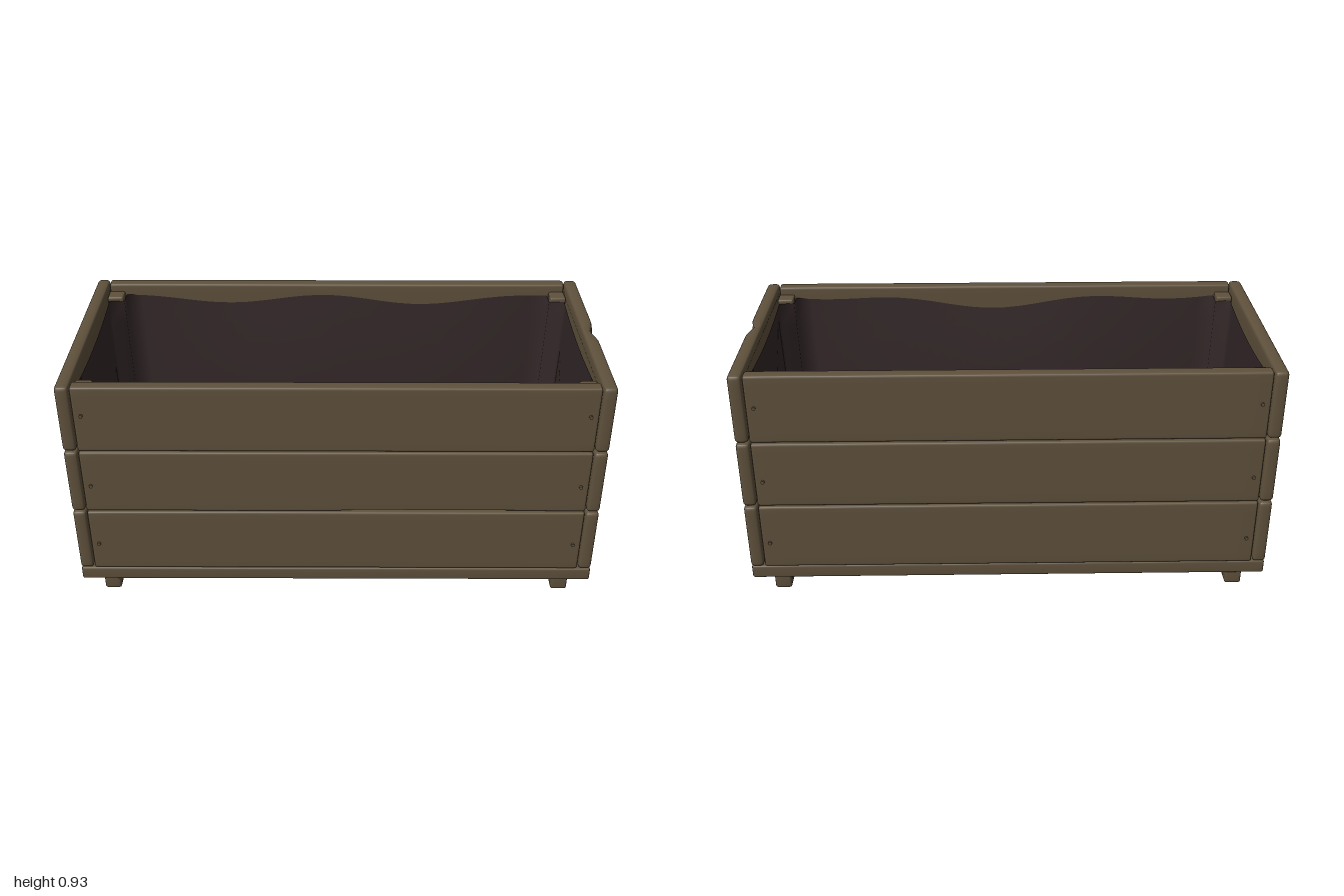
import * as THREE from 'three';
import { mergeVertices } from 'three/addons/utils/BufferGeometryUtils.js';

const wood = new THREE.MeshStandardMaterial({ color: 0x5f513c });
wood.name = 'weathered wood';
const fabric = new THREE.MeshStandardMaterial({ color: 0x322627, side: THREE.DoubleSide });
fabric.name = 'dark liner';

// Spread box grid lines so that two of them at each end form the rounded edge.
function spread(t, size, n, r) {
  const i = Math.round((t + 0.5) * n), h = size / 2;
  const side = i <= n / 2 ? -1 : 1, k = Math.min(i, n - i);
  if (k < 2) return side * (h - [0, 0.35 * r][k]);
  return -h + r + ((i - 2) / (n - 4)) * (size - 2 * r);
}

// Worn timber: a rounded box, optionally reshaped by a rule in model space.
function timber(name, min, max, r = 0.012, rule = null) {
  const size = max.map((v, i) => v - min[i]);
  const seg = size.map(s => (s > 0.5 ? 28 : s > 0.2 ? 12 : 6));
  let geo = new THREE.BoxGeometry(1, 1, 1, ...seg);
  geo.deleteAttribute('normal');
  geo.deleteAttribute('uv');
  geo = mergeVertices(geo);
  const pos = geo.attributes.position;
  const p = new THREE.Vector3(), core = new THREE.Vector3();
  for (let i = 0; i < pos.count; i++) {
    p.fromBufferAttribute(pos, i);
    p.set(...[p.x, p.y, p.z].map((t, a) => spread(t, size[a], seg[a], r)));
    core.set(...[p.x, p.y, p.z].map((v, a) => {
      const c = size[a] / 2 - r;
      return Math.max(-c, Math.min(c, v));
    }));
    p.sub(core);
    if (p.lengthSq() > 1e-12) p.setLength(r);
    p.add(core);
    p.set(...[p.x, p.y, p.z].map((v, a) => v + (min[a] + max[a]) / 2));
    if (rule) rule(p);
    pos.setXYZ(i, p.x, p.y, p.z);
  }
  geo.computeVertexNormals();
  const mesh = new THREE.Mesh(geo, wood);
  mesh.name = name;
  return mesh;
}

// Small round screw head facing along a horizontal direction.
function screw(x, y, z, alongX) {
  const mesh = new THREE.Mesh(new THREE.CylinderGeometry(0.007, 0.007, 0.016, 8), wood);
  mesh.position.set(x, y, z);
  if (alongX) mesh.rotation.z = Math.PI / 2;
  else mesh.rotation.x = Math.PI / 2;
  mesh.name = 'screwHead';
  return mesh;
}

// Sagging liner: one outline, stepped in around the posts, repeated at each level.
function liner() {
  const X = 0.93, Z = 0.39, nx = 0.868, nz = 0.328, outline = [];
  const edge = (ax, az, bx, bz, n) => {
    for (let i = 0; i < n; i++) outline.push([ax + (bx - ax) * i / n, az + (bz - az) * i / n]);
  };
  edge(X, -nz, X, nz, 12);
  edge(X, nz, nx, nz, 1);
  edge(nx, nz, nx, Z, 1);
  edge(nx, Z, -nx, Z, 28);
  edge(-nx, Z, -nx, nz, 1);
  edge(-nx, nz, -X, nz, 1);
  edge(-X, nz, -X, -nz, 12);
  edge(-X, -nz, -nx, -nz, 1);
  edge(-nx, -nz, -nx, -Z, 1);
  edge(-nx, -Z, nx, -Z, 28);
  edge(nx, -Z, nx, -nz, 1);
  edge(nx, -nz, X, -nz, 1);
  const n = outline.length, levels = 8, verts = [], index = [];
  for (let l = 0; l <= levels; l++) {
    const t = l / levels;
    for (const [x, z] of outline) {
      const mid = Math.max(0, 1 - (x / nx) ** 2), midZ = Math.max(0, 1 - (z / nz) ** 2);
      const top = 0.885 - 0.025 * mid * (1 + Math.sin(7 * x + 3 * z)) - 0.02 * midZ;
      const sag = Math.sin(t * Math.PI / 2);
      verts.push(x * (1 - sag * (0.015 + 0.01 * midZ)), top + (0.14 - top) * t,
        z * (1 - sag * (0.05 + 0.1 * mid)));
    }
  }
  for (let l = 0; l < levels; l++) for (let i = 0; i < n; i++) {
    const a = l * n + i, b = l * n + (i + 1) % n;
    index.push(a, a + n, b, b, a + n, b + n);
  }
  // Floor fan
  const centre = verts.length / 3;
  verts.push(0, 0.135, 0);
  for (let i = 0; i < n; i++) index.push(levels * n + i, centre, levels * n + (i + 1) % n);
  const geo = new THREE.BufferGeometry();
  geo.setAttribute('position', new THREE.Float32BufferAttribute(verts, 3));
  geo.setIndex(index);
  geo.computeVertexNormals();
  const mesh = new THREE.Mesh(geo, fabric);
  mesh.name = 'liner';
  return mesh;
}

export function createModel() {
  const planter = new THREE.Group();
  planter.name = 'planter';

  // Chip in the upper outer edge of one end board
  const chip = p => {
    const width = 0.07 * (p.y - 0.86) / 0.07;
    if (width > 0 && p.x > 0.96) p.x -= 0.018 * Math.max(0, 1 - Math.abs(p.z) / (width + 0.01));
  };
  // Worn lower edge of the middle front board
  const worn = p => {
    if (p.y < 0.402 && p.x > 0 && p.z > 0.42) p.y += 0.012 * (1 - p.x / 0.94);
  };

  // Three rows of wall boards with their screws
  const rows = [[0.119, 0.388], [0.393, 0.657], [0.662, 0.93]];
  const screwY = [[0.23, 0.253, 0.24], [0.52, 0.535, 0.51], [0.78, 0.812, 0.815]];
  rows.forEach(([y0, y1], i) => {
    planter.add(timber('frontBoard', [-0.936, y0, 0.393], [0.936, y1, 0.443], 0.01, i === 1 ? worn : null));
    planter.add(timber('backBoard', [-0.936, y0, -0.443], [0.936, y1, -0.393], 0.01));
    planter.add(timber('rightEndBoard', [0.939, y0, -0.445], [0.99, y1, 0.445], 0.015, i === 2 ? chip : null));
    planter.add(timber('leftEndBoard', [-0.99, y0, -0.445], [-0.939, y1, 0.445], 0.015));
    const [yFront, yBack, yLong] = screwY[i];
    for (const s of [-1, 1]) {
      planter.add(screw(s * 0.991, yFront, 0.36, true), screw(s * 0.991, yBack, -0.36, true));
      planter.add(screw(s * 0.905, yLong, 0.443, false), screw(s * 0.905, yLong - 0.01, -0.443, false));
    }
  });

  // Floor slats
  for (const [z0, z1] of [[0.157, 0.441], [-0.14, 0.143], [-0.435, -0.151]]) {
    planter.add(timber('floorSlat', [-0.99, 0.061, z0], [0.99, 0.116, z1], 0.009));
  }

  // Foot rails and corner posts
  for (const s of [-1, 1]) {
    planter.add(timber('footRail', [s * 0.878 - 0.032, 0, -0.42], [s * 0.878 + 0.032, 0.064, 0.425], 0.01));
    for (const t of [-1, 1]) {
      planter.add(timber('cornerPost', [s * 0.905 - 0.032, 0.116, t * 0.363 - 0.032],
        [s * 0.905 + 0.032, 0.9, t * 0.363 + 0.032], 0.008));
    }
  }

  planter.add(liner());
  return planter;
}
